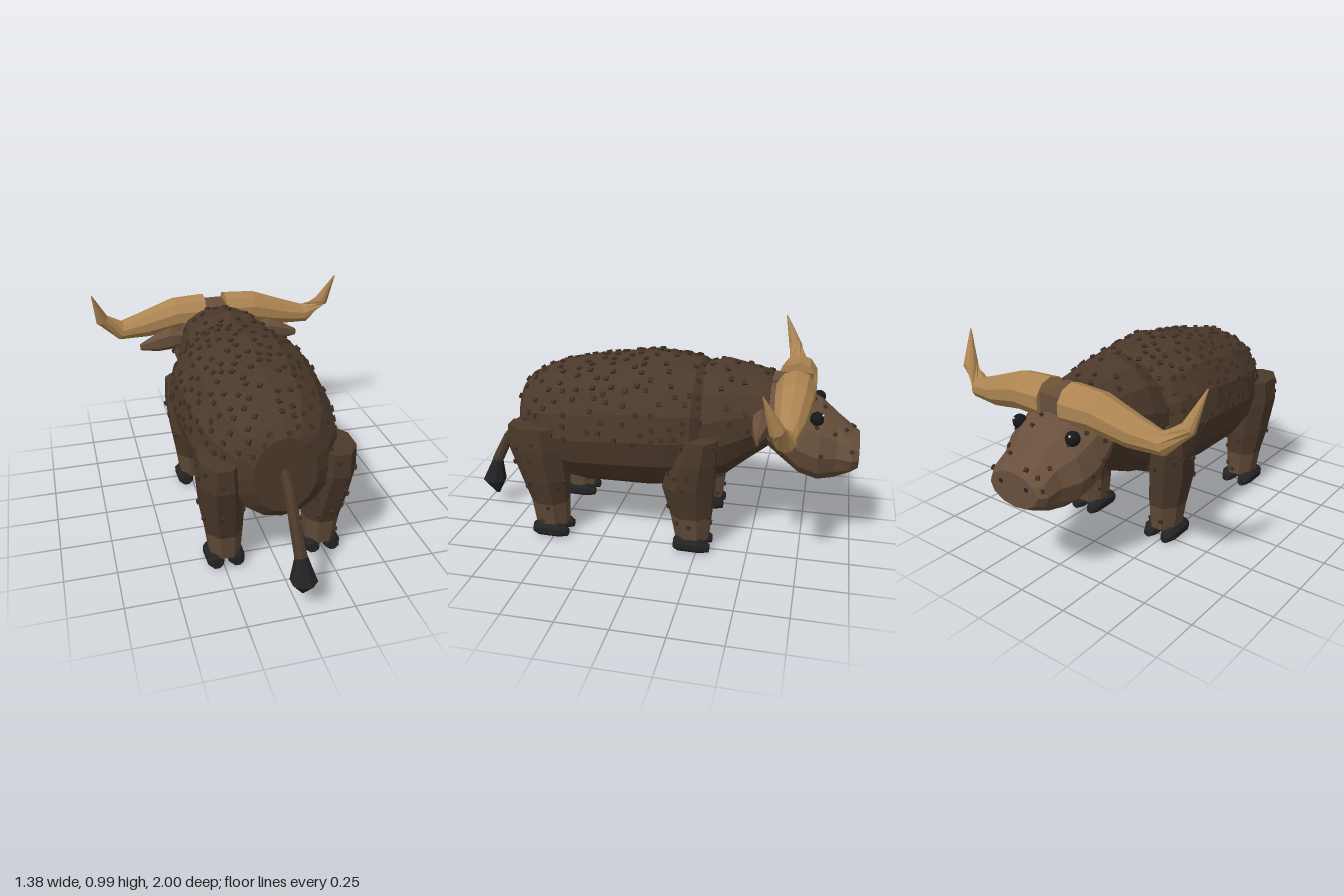
import * as THREE from 'three';
import { mergeGeometries } from 'three/addons/utils/BufferGeometryUtils.js';

const V = (x, y, z) => new THREE.Vector3(x, y, z);

function paint(name, color) {
  const m = new THREE.MeshStandardMaterial({ color });
  m.name = name;
  return m;
}

// Ring of n points around c; u and v are the half axes, down scales the -v half.
function ring(c, u, v, n, down = 1, phase = 0) {
  return Array.from({ length: n }, (_, i) => {
    const a = ((i + phase) / n) * Math.PI * 2, k = Math.cos(a);
    return c.clone().addScaledVector(u, Math.sin(a)).addScaledVector(v, k < 0 ? k * down : k);
  });
}

// Faceted skin through the rings with closed ends, always facing outward.
function loft(rings) {
  const tris = [], n = rings[0].length;
  for (let r = 0; r + 1 < rings.length; r++) {
    for (let i = 0; i < n; i++) {
      const j = (i + 1) % n, A = rings[r], B = rings[r + 1];
      tris.push([A[i], B[i], B[j]], [A[i], B[j], A[j]]);
    }
  }
  const cap = (R, flip) => {
    const c = R.reduce((s, p) => s.add(p), V(0, 0, 0)).divideScalar(n);
    R.forEach((p, i) => tris.push(flip ? [c, R[(i + 1) % n], p] : [c, p, R[(i + 1) % n]]));
  };
  cap(rings[0], false);
  cap(rings[rings.length - 1], true);
  const mid = rings[0][0];
  let volume = 0;
  for (const [a, b, c] of tris) {
    volume += a.clone().sub(mid).dot(b.clone().sub(mid).cross(c.clone().sub(mid)));
  }
  if (volume < 0) tris.forEach(t => t.reverse());
  const g = new THREE.BufferGeometry().setFromPoints(tris.flat());
  g.computeVertexNormals();
  return g;
}

// Sections along z: [z, top, bottom, half width, height share above the widest line]
const loftZ = (rows, n) => loft(rows.map(([z, top, bot, w, share = 0.5]) => {
  const up = (top - bot) * share;
  return ring(V(0, top - up, z), V(w, 0, 0), V(0, up, 0), n, (1 - share) / share);
}));

// Sections along y: [y, x, z, rx, rz]
const loftY = (rows, n = 8) => {
  const k = 1 / Math.cos(Math.PI / n);
  return loft(rows.map(([y, x, z, rx, rz]) => ring(V(x, y, z), V(rx * k, 0, 0), V(0, 0, rz * k), n, 1, 0.5)));
};

// Rings square to a bent path, with one radius per point
function loftPath(pts, radii, n) {
  return loft(pts.map((p, i) => {
    const t = pts[Math.min(i + 1, pts.length - 1)].clone().sub(pts[Math.max(i - 1, 0)]).normalize();
    const side = Math.abs(t.x) > 0.5 ? V(0, 0, 1) : V(1, 0, 0);
    const v = t.clone().cross(side).normalize(), u = v.clone().cross(t);
    return ring(p, u.multiplyScalar(radii[i]), v.multiplyScalar(radii[i]), n);
  }));
}

function seeded(s) {
  return () => (s = (s * 16807) % 2147483647) / 2147483647;
}

// Small square bumps sprinkled evenly over a faceted surface
function bumps(geo, count, accept, rand, size = 0.022) {
  const p = geo.attributes.position, faces = [];
  let total = 0;
  for (let i = 0; i < p.count; i += 3) {
    const t = new THREE.Triangle(...[0, 1, 2].map(k => V(0, 0, 0).fromBufferAttribute(p, i + k)));
    total += t.getArea();
    faces.push({ t, sum: total, normal: t.getNormal(V(0, 0, 0)) });
  }
  const placed = [], out = [];
  for (let tries = 0; tries < 6000 && out.length < count; tries++) {
    const pick = rand() * total, f = faces.find(q => q.sum >= pick) || faces[0];
    let a = rand(), b = rand();
    if (a + b > 1) { a = 1 - a; b = 1 - b; }
    const pos = f.t.a.clone().multiplyScalar(1 - a - b).addScaledVector(f.t.b, a).addScaledVector(f.t.c, b);
    if (!accept(pos, f.normal) || placed.some(q => q.distanceTo(pos) < 0.045)) continue;
    placed.push(pos);
    const m = new THREE.Object3D();
    m.position.copy(pos);
    m.lookAt(pos.clone().add(f.normal));
    m.updateMatrix();
    out.push(new THREE.BoxGeometry(size, size, 0.02).applyMatrix4(m.matrix));
  }
  return mergeGeometries(out);
}

export function createModel() {
  const hide = paint('dark brown hide', 0x4b392b), skin = paint('light brown skin', 0x69503c);
  const shin = paint('shin brown', 0x604a37), hornTan = paint('horn tan', 0xad8552);
  const black = paint('hoof black', 0x232323), eyeBlack = paint('eye black', 0x15181c);
  const bumpBrown = paint('bump brown', 0x3f2f23), white = paint('eye glint', 0xd8d8d8);
  const model = new THREE.Group(), rand = seeded(77);
  const add = (name, geo, mat, parent = model) => {
    const m = new THREE.Mesh(geo, mat);
    m.name = name;
    parent.add(m);
    return m;
  };

  // Barrel body
  const body = loftZ([
    [0.71, 0.75, 0.37, 0.15], [0.67, 0.80, 0.32, 0.225], [0.54, 0.865, 0.275, 0.31], [0.36, 0.905, 0.255, 0.355],
    [0.04, 0.955, 0.26, 0.375], [-0.1, 0.945, 0.27, 0.365], [-0.21, 0.93, 0.29, 0.335], [-0.25, 0.90, 0.33, 0.29],
  ], 16);
  add('body', body, hide);
  add('bodyBumps', bumps(body, 190, (q, n) => q.y > 0.58 && Math.abs(n.z) < 0.85, rand), bumpBrown);

  // Neck, with the chest hanging at the bottom
  const slant = [[-0.2, 0.9, -0.2, 0.30, 0.28], [-0.33, 0.94, -0.37, 0.35, 0.27],
    [-0.44, 0.915, -0.46, 0.43, 0.245], [-0.56, 0.885, -0.58, 0.53, 0.22]];
  const neck = loft(slant.map(([zt, top, zb, bot, w]) =>
    ring(V(0, (top + bot) / 2, (zt + zb) / 2), V(w, 0, 0), V(0, (top - bot) / 2, (zt - zb) / 2), 14)));
  add('neck', neck, hide);
  add('neckBumps', bumps(neck, 26, (q, n) => q.y > 0.62 && q.z < -0.26 && Math.abs(n.z) < 0.8, rand), bumpBrown);

  // Head and muzzle
  const head = loftZ([
    [-0.53, 0.86, 0.55, 0.2], [-0.6, 0.872, 0.49, 0.232], [-0.72, 0.81, 0.395, 0.24, 0.55], [-0.81, 0.76, 0.365, 0.225, 0.55],
    [-0.89, 0.69, 0.375, 0.178], [-0.965, 0.625, 0.415, 0.17], [-1, 0.6, 0.435, 0.14],
  ], 12);
  add('head', head, skin);
  add('headBumps', bumps(head, 22, (q, n) => q.y > 0.53 && q.z < -0.62 && n.z > -0.8, rand, 0.018), bumpBrown);
  // Ridge of the brow between the horns
  add('browRidge', new THREE.BoxGeometry(0.14, 0.1, 0.19).translate(0, 0.82, -0.66), skin);

  for (const s of [1, -1]) {
    const side = s > 0 ? 'left' : 'right';

    // Sweeping horn
    const path = [[0.06, 0.82, -0.68], [0.22, 0.82, -0.68], [0.4, 0.775, -0.675], [0.54, 0.757, -0.665],
      [0.64, 0.84, -0.635], [0.687, 1, -0.575]].map(([x, y, z]) => V(s * x, y, z));
    add(side + 'Horn', loftPath(path, [0.1, 0.092, 0.073, 0.053, 0.036, 0.003], 10), hornTan);

    // Pointed ear
    const ear = [[0.18, 0.73, 0.025, 0.03], [0.28, 0.73, 0.045, 0.065], [0.35, 0.715, 0.038, 0.055], [0.45, 0.695, 0.006, 0.018]];
    add(side + 'Ear', loft(ear.map(([x, y, rz, ry]) => ring(V(s * x, y, -0.54), V(0, 0, rz), V(0, ry, 0), 6))), skin);

    // Eye with a glint, and nostril
    const eye = new THREE.SphereGeometry(0.034, 10, 8);
    add(side + 'Eye', eye, eyeBlack).position.set(s * 0.157, 0.72, -0.79);
    add(side + 'EyeGlint', new THREE.SphereGeometry(0.006, 6, 4), white).position.set(s * 0.165, 0.742, -0.817);
    add(side + 'Nostril', new THREE.SphereGeometry(0.016, 8, 6).scale(1, 0.8, 0.25), black)
      .position.set(s * 0.075, 0.54, -0.998);

    // Legs, each with a thigh, a paler shin and two toes
    const legs = {
      Rear: [[0.62, 0.27, 0.575, 0.09, 0.13], [0.5, 0.267, 0.57, 0.1, 0.135], [0.33, 0.253, 0.54, 0.098, 0.115],
        [0.2, 0.242, 0.525, 0.085, 0.092], [0.07, 0.237, 0.52, 0.072, 0.082]],
      Front: [[0.62, 0.27, -0.25, 0.09, 0.088], [0.5, 0.267, -0.225, 0.1, 0.11], [0.36, 0.255, -0.2, 0.098, 0.125],
        [0.2, 0.242, -0.215, 0.085, 0.1], [0.07, 0.237, -0.22, 0.072, 0.082]],
    };
    for (const [end, rows] of Object.entries(legs)) {
      const leg = new THREE.Group();
      leg.name = side + end + 'Leg';
      model.add(leg);
      const r = rows.map(([y, x, ...rest]) => [y, s * x, ...rest]);
      add('thigh', loftY(r.slice(0, 4)), hide, leg);
      add('shin', loftY(r.slice(3)), shin, leg);
      add('legBumps', bumps(loftY(r), 20, (q, n) => q.y > 0.1 && Math.abs(n.y) < 0.5, rand, 0.018), bumpBrown, leg);
      const z = r[4][2];
      for (const x of [0.19, 0.29]) {
        const toe = [[0.085, 0.048, 0.03, 0.03], [0.06, 0.047, 0.042, 0.04], [-0.05, 0.046, 0.045, 0.04], [-0.095, 0.034, 0.022, 0.02]];
        add('hoof', loft(toe.map(([dz, y, rx, ry]) =>
          ring(V(s * x, y, z + dz), V(rx, 0, 0), V(0, ry, 0), 8, 1, 0.5))), black, leg);
      }
    }
  }

  // Tail with a dark tuft
  const tail = [V(0, 0.58, 0.69), V(0, 0.5, 0.78), V(0, 0.41, 0.85), V(0.01, 0.27, 0.92)];
  add('tail', loftPath(tail, [0.024, 0.025, 0.027, 0.03], 8), hide);
  add('tailTuft', loftY([[0.285, 0.012, 0.915, 0.024, 0.024], [0.16, 0.02, 0.94, 0.058, 0.058],
    [0.08, 0.024, 0.925, 0.008, 0.008]]), black);

  return model;
}
